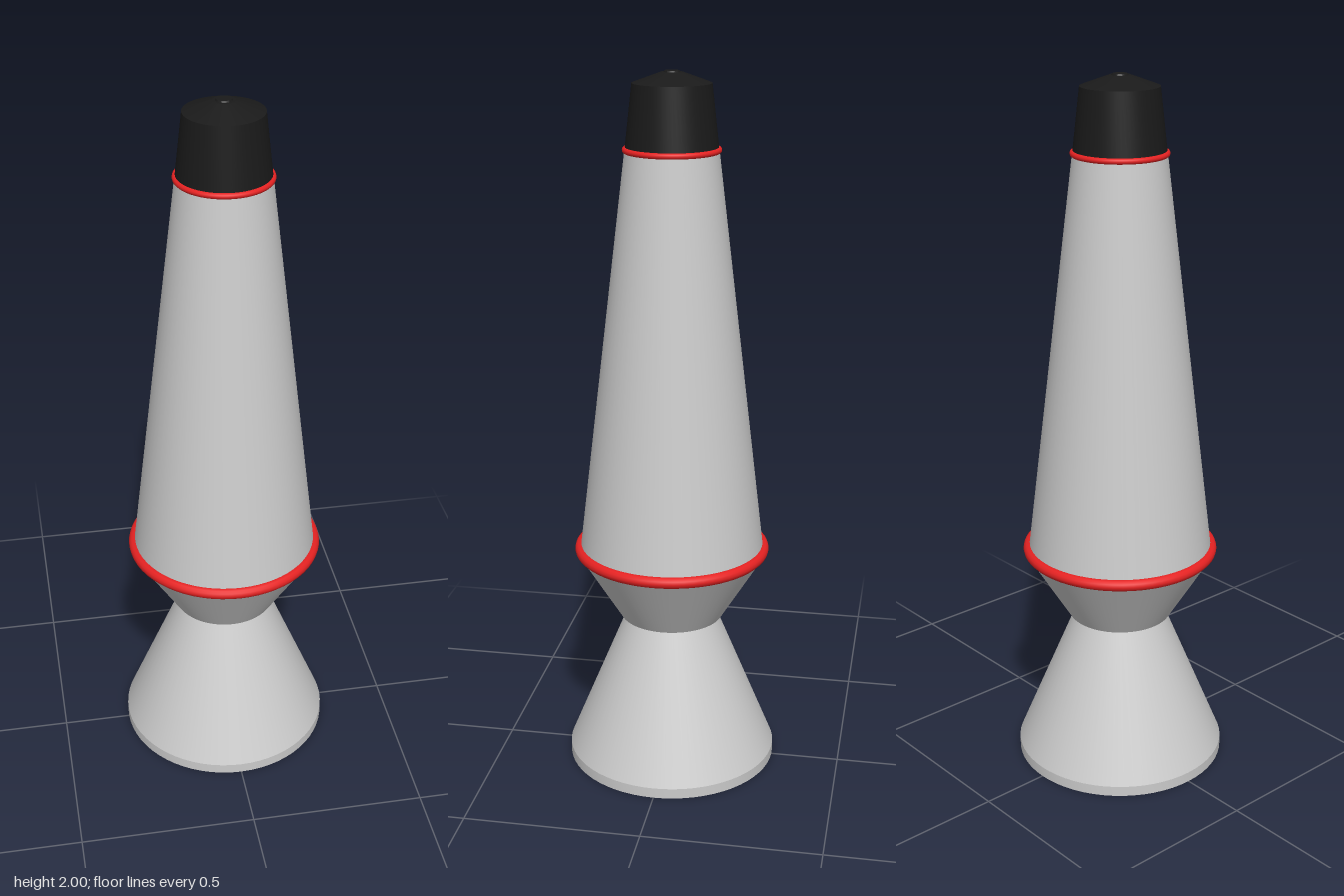
import * as THREE from 'three';
import { toCreasedNormals } from 'three/addons/utils/BufferGeometryUtils.js';

const SEGMENTS = 64;

export function createModel() {
  const model = new THREE.Group();
  model.name = 'lavaLamp';

  const grey = new THREE.MeshStandardMaterial({ color: 0xcccccc });
  const black = new THREE.MeshStandardMaterial({ color: 0x1a1a1a });
  const red = new THREE.MeshStandardMaterial({ color: 0xe62222 });

  const add = (name, geometry, material) => {
    const mesh = new THREE.Mesh(geometry, material);
    mesh.name = name;
    model.add(mesh);
    return mesh;
  };

  // Turned part from [radius, height] pairs, bottom to top, with sharp edges
  const turned = (name, profile, material) => {
    const points = profile.map(([r, y]) => new THREE.Vector2(r, y));
    return add(name, toCreasedNormals(new THREE.LatheGeometry(points, SEGMENTS), 0.3), material);
  };

  // Rounded trim ring lying flat at a height
  const ring = (name, radius, tube, y) => {
    const geometry = new THREE.TorusGeometry(radius, tube, 12, SEGMENTS);
    geometry.rotateX(Math.PI / 2);
    add(name, geometry, red).position.y = y;
  };

  // Flared foot with a short upright lip
  turned('base', [[0, 0], [0.303, 0], [0.303, 0.03], [0.131, 0.447], [0, 0.447]], grey);

  // Cup holding the vessel
  turned('cup', [[0, 0.445], [0.148, 0.445], [0.268, 0.64], [0.268, 0.655], [0, 0.655]], grey);

  // Tapered vessel
  turned('vessel', [[0, 0.65], [0.264, 0.65], [0.127, 1.795], [0, 1.795]], grey);

  // Cap with a shallow crown and a small button
  turned('cap', [
    [0, 1.79], [0.127, 1.79], [0.107, 1.968], [0.03, 1.996],
    [0.022, 1.996], [0.02, 2], [0, 2],
  ], black);

  // Trim rings
  ring('lowerRing', 0.264, 0.016, 0.652);
  ring('upperRing', 0.126, 0.008, 1.793);

  return model;
}
